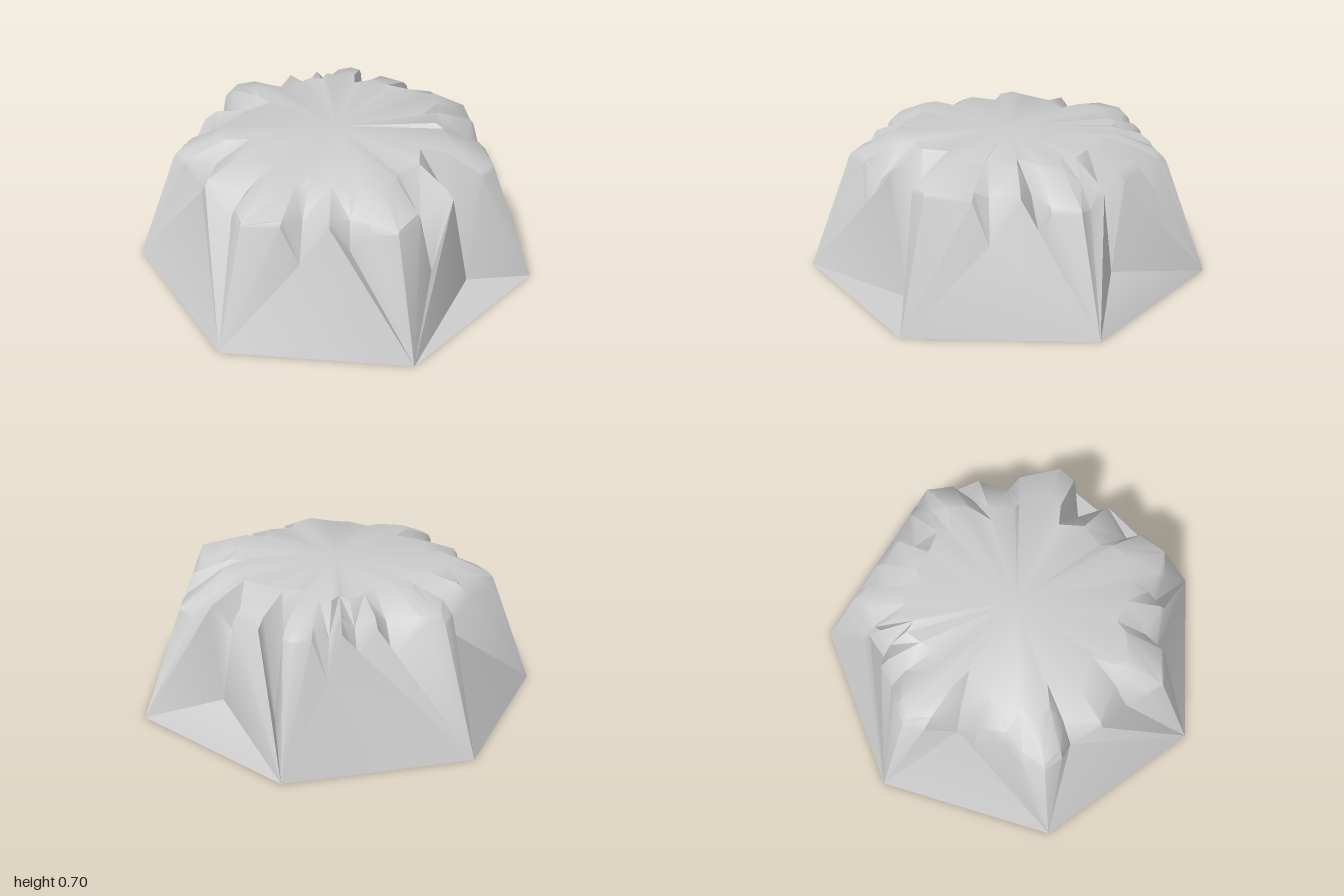
import * as THREE from 'three';
import { toCreasedNormals } from 'three/addons/utils/BufferGeometryUtils.js';

const SIDES = 7, CX = -0.053, TOP = 0.68, STEP = 2 * Math.PI / SIDES;

// Radius of the tapering seven-sided wall at an angle and height
function wallRadius(a, y) {
  const local = ((a % STEP) + STEP) % STEP - STEP / 2;
  return (1.023 - 0.39 * y) * Math.cos(STEP / 2) / Math.cos(local);
}
function polar(a, r, y) {
  return new THREE.Vector3(CX + Math.cos(a) * r, y, Math.sin(a) * r);
}

// Rim at the corners: inset from the wall, height
const corners = [[0, 0.55], [0, 0.61], [0, 0.59], [0, 0.59], [0.01, 0.59], [0.02, 0.63], [0.03, 0.62]];

// Rim crests between corners: angle in degrees, inset, height
const crests = [
  [9, 0.01, 0.56], [19, 0.01, 0.62], [36, 0.02, 0.61], [58, 0.01, 0.61], [75, 0.02, 0.61],
  [93, 0.01, 0.6], [111, 0.02, 0.6], [125, 0.01, 0.61], [142, 0.01, 0.6], [160, 0.01, 0.6],
  [181, 0.01, 0.61], [199, 0.02, 0.6], [213, 0.03, 0.61], [231, 0.05, 0.65], [250, 0.04, 0.65],
  [264, 0.02, 0.63], [280, 0.03, 0.64], [293, 0.04, 0.64], [303, 0.03, 0.62], [312.5, 0.03, 0.62],
  [323, 0.03, 0.62], [335, 0.03, 0.62], [348, 0.02, 0.6],
];

// Chipped notches: foot x, y, z, then inner tip x, y, z
const notches = [
  [0.66, 0.42, 0.16, 0.37, 0.68, 0.14], [0.59, 0.37, 0.37, 0.35, 0.7, 0.27],
  [0.28, 0.02, 0.67, 0.16, 0.68, 0.4], [-0.03, 0.28, 0.77, -0.04, 0.67, 0.5],
  [-0.38, 0.45, 0.62, -0.3, 0.67, 0.5], [-0.57, 0.37, 0.5, -0.41, 0.68, 0.33],
  [-0.73, 0.47, 0.17, -0.48, 0.68, 0.13], [-0.73, 0.45, -0.16, -0.47, 0.68, -0.12],
  [-0.57, 0.5, -0.43, -0.47, 0.67, -0.34], [-0.37, 0.45, -0.57, -0.21, 0.68, -0.38],
  [0, 0.45, -0.71, -0.04, 0.68, -0.45], [0.15, 0.45, -0.66, 0.12, 0.67, -0.52],
  [0.31, 0.38, -0.69, 0.2, 0.68, -0.5], [0.5, 0.16, -0.53, 0.27, 0.68, -0.33],
  [0.64, 0.14, -0.23, 0.41, 0.68, -0.2], [0.71, 0.52, -0.07, 0.43, 0.68, -0.06],
];

// Each column runs wall, rim, plateau; corners also carry a base point
function crestColumn(a, inset, y, base = null) {
  const r = wallRadius(a, y) - inset, foot = y - 0.02 - inset * 0.8;
  return { a, base, points: [
    polar(a, wallRadius(a, foot), foot), polar(a, r, y), polar(a, r * 0.75, TOP),
  ] };
}
function notchColumn([fx, fy, fz, tx, ty, tz]) {
  const low = new THREE.Vector3(fx, fy, fz), tip = new THREE.Vector3(tx, ty, tz);
  const mid = low.clone().lerp(tip, 0.35);
  mid.y = THREE.MathUtils.lerp(fy, ty, 0.6);
  const a = (Math.atan2(fz, fx - CX) + 2 * Math.PI) % (2 * Math.PI);
  return { a, base: null, points: [low, mid, tip] };
}

export function createModel() {
  const columns = [
    ...corners.map(([inset, y], i) =>
      crestColumn(i * STEP, inset, y, polar(i * STEP, 1.023, 0))),
    ...crests.map(([deg, inset, y]) => crestColumn(THREE.MathUtils.degToRad(deg), inset, y)),
    ...notches.map(notchColumn),
  ].sort((p, q) => p.a - q.a);
  const pos = [];
  const tri = (...pts) => pts.forEach(p => pos.push(p.x, p.y, p.z));
  const under = new THREE.Vector3(CX, 0, 0), crown = new THREE.Vector3(CX, TOP, 0);

  // Chipped rim and plateau
  columns.forEach((col, i) => {
    const p = col.points, q = columns[(i + 1) % columns.length].points;
    for (let k = 0; k < 2; k++) {
      // Mirror the diagonal on either side of a notch
      if (p[0].y < q[0].y) {
        tri(p[k], p[k + 1], q[k + 1]);
        tri(p[k], q[k + 1], q[k]);
      } else {
        tri(p[k], p[k + 1], q[k]);
        tri(q[k], p[k + 1], q[k + 1]);
      }
    }
    tri(crown, q[2], p[2]);
  });

  // Seven walls, each fanned from its two base corners to the deepest notch
  const ends = columns.flatMap((col, i) => col.base ? [i] : []);
  ends.forEach((start, s) => {
    const stop = ends[s + 1] ?? columns.length;
    const chain = [...columns.slice(start, stop), columns[stop % columns.length]];
    const lows = chain.map(col => col.points[0]);
    const split = lows.reduce((best, p, i) => p.y < lows[best].y ? i : best, 0);
    const a = chain[0].base, b = chain[chain.length - 1].base;
    for (let i = 0; i < lows.length - 1; i++) tri(i < split ? a : b, lows[i], lows[i + 1]);
    tri(a, lows[split], b);
    tri(under, a, b);
  });

  const geometry = new THREE.BufferGeometry();
  geometry.setAttribute('position', new THREE.Float32BufferAttribute(pos, 3));
  const rock = new THREE.Mesh(
    toCreasedNormals(geometry, 0.8),
    new THREE.MeshStandardMaterial({ color: 0xcccccc, side: THREE.DoubleSide }),
  );
  rock.name = 'chippedPlateauRock';

  const model = new THREE.Group();
  model.name = 'rockPlateau';
  model.add(rock);
  return model;
}
